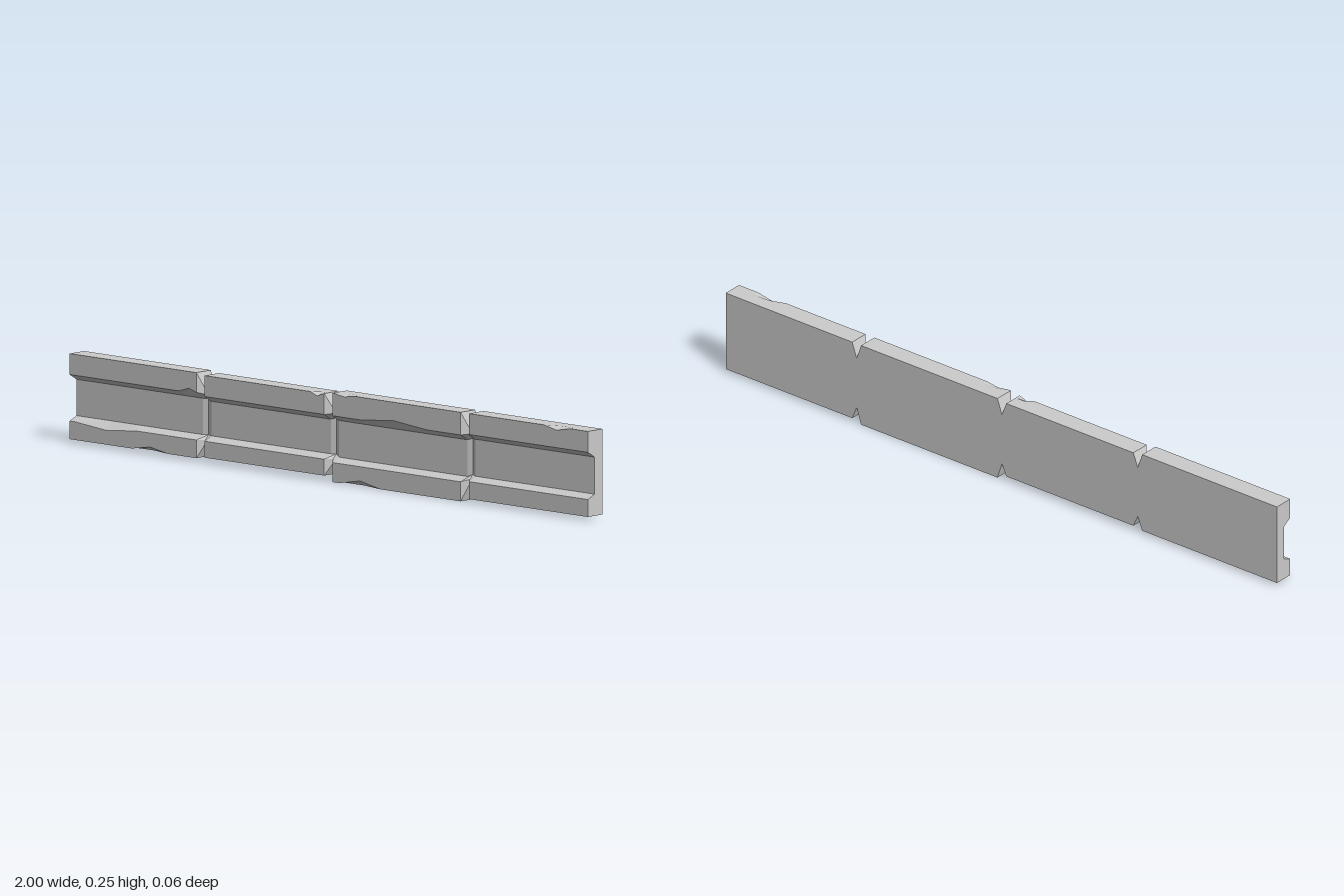
import * as THREE from 'three';

const BACK = -0.03, FRONT = 0.03, MID = 0.012, NOTCH = 0.016;
// Profile point indices that chips can move
const BOTTOM = 1 + 1, LOW_LIP = 3, HIGH_LIP = 6, TOP = 7;

// Channel section as [z, y], from the back bottom round the front to the back top
function section(b) {
  return [
    [BACK, b.bottom], [MID, b.bottom], [FRONT, b.bottom],
    [FRONT, b.low], [0.002, b.low + 0.012],
    [0.002, b.high - 0.017], [FRONT, b.high],
    [FRONT, b.top], [MID, b.top], [BACK, b.top],
  ];
}

// Narrow section at the bottom of the V joint between two blocks
const jointSection = [
  [BACK, 0.05], [0, 0.05], [0.01, 0.05],
  [0.01, 0.062], [-0.004, 0.075],
  [-0.004, 0.178], [0.01, 0.192],
  [0.01, 0.208], [0, 0.208], [BACK, 0.208],
];

// Chips: [profile point, x, half width, change in y]
const blocks = [
  { x0: -1, x1: -0.495, bottom: 0.01, top: 0.255, low: 0.062, high: 0.195,
    chips: [[BOTTOM, -0.69, 0.07, 0.012], [LOW_LIP, -0.86, 0.12, -0.011], [HIGH_LIP, -0.54, 0.04, 0.012]] },
  { x0: -0.495, x1: -0.002, bottom: 0.015, top: 0.25, low: 0.062, high: 0.19,
    chips: [[TOP, -0.045, 0.025, -0.01]] },
  { x0: -0.002, x1: 0.525, bottom: 0, top: 0.255, low: 0.056, high: 0.19,
    chips: [[BOTTOM, 0.12, 0.08, 0.015], [HIGH_LIP, 0.25, 0.13, 0.012], [TOP, 0.06, 0.04, -0.006]] },
  { x0: 0.525, x1: 1, bottom: 0.01, top: 0.255, low: 0.06, high: 0.195,
    chips: [[TOP, 0.88, 0.05, -0.01]] },
];

function chippedSection(b, x) {
  const p = section(b);
  for (const [index, cx, width, dy] of b.chips) {
    p[index][1] += dy * Math.max(0, 1 - Math.abs(x - cx) / width);
  }
  return p;
}

// Loft one block from its cross-sections along x
function blockGeometry(b, first, last) {
  const start = first ? b.x0 : b.x0 + NOTCH;
  const end = last ? b.x1 : b.x1 - NOTCH;
  const xs = new Set([start, end]);
  for (const [, cx, w] of b.chips) {
    for (const x of [cx - w, cx, cx + w]) if (x > start && x < end) xs.add(x);
  }
  const stations = [...xs].sort((p, q) => p - q).map((x) => ({ x, p: chippedSection(b, x) }));
  if (!first) stations.unshift({ x: b.x0, p: jointSection });
  if (!last) stations.push({ x: b.x1, p: jointSection });

  const n = jointSection.length;
  const positions = stations.flatMap((s) => s.p.flatMap(([z, y]) => [s.x, y, z]));
  const index = [];
  for (let i = 0; i < stations.length - 1; i++) {
    for (let j = 0; j < n; j++) {
      const k = (j + 1) % n;
      const a = i * n + j, e = i * n + k, c = (i + 1) * n + k, d = (i + 1) * n + j;
      index.push(a, d, c, a, c, e);
    }
  }
  // Flat caps at the two ends of the whole strip
  function cap(station, side) {
    const pts = stations[station].p.map(([z, y]) => new THREE.Vector2(z, y));
    for (const [a, c, d] of THREE.ShapeUtils.triangulateShape(pts, [])) {
      const area = THREE.ShapeUtils.area([pts[a], pts[c], pts[d]]);
      const t = area * side < 0 ? [a, c, d] : [a, d, c];
      index.push(...t.map((v) => v + station * n));
    }
  }
  if (first) cap(0, -1);
  if (last) cap(stations.length - 1, 1);

  const g = new THREE.BufferGeometry();
  g.setAttribute('position', new THREE.Float32BufferAttribute(positions, 3));
  g.setIndex(index);
  const flat = g.toNonIndexed();
  flat.computeVertexNormals();
  return flat;
}

export function createModel() {
  const group = new THREE.Group();
  group.name = 'stoneTrim';
  const material = new THREE.MeshStandardMaterial({ color: 0xcccccc, flatShading: true });
  blocks.forEach((b, i) => {
    const mesh = new THREE.Mesh(blockGeometry(b, i === 0, i === blocks.length - 1), material);
    mesh.name = `trimBlock${i + 1}`;
    group.add(mesh);
  });
  return group;
}
